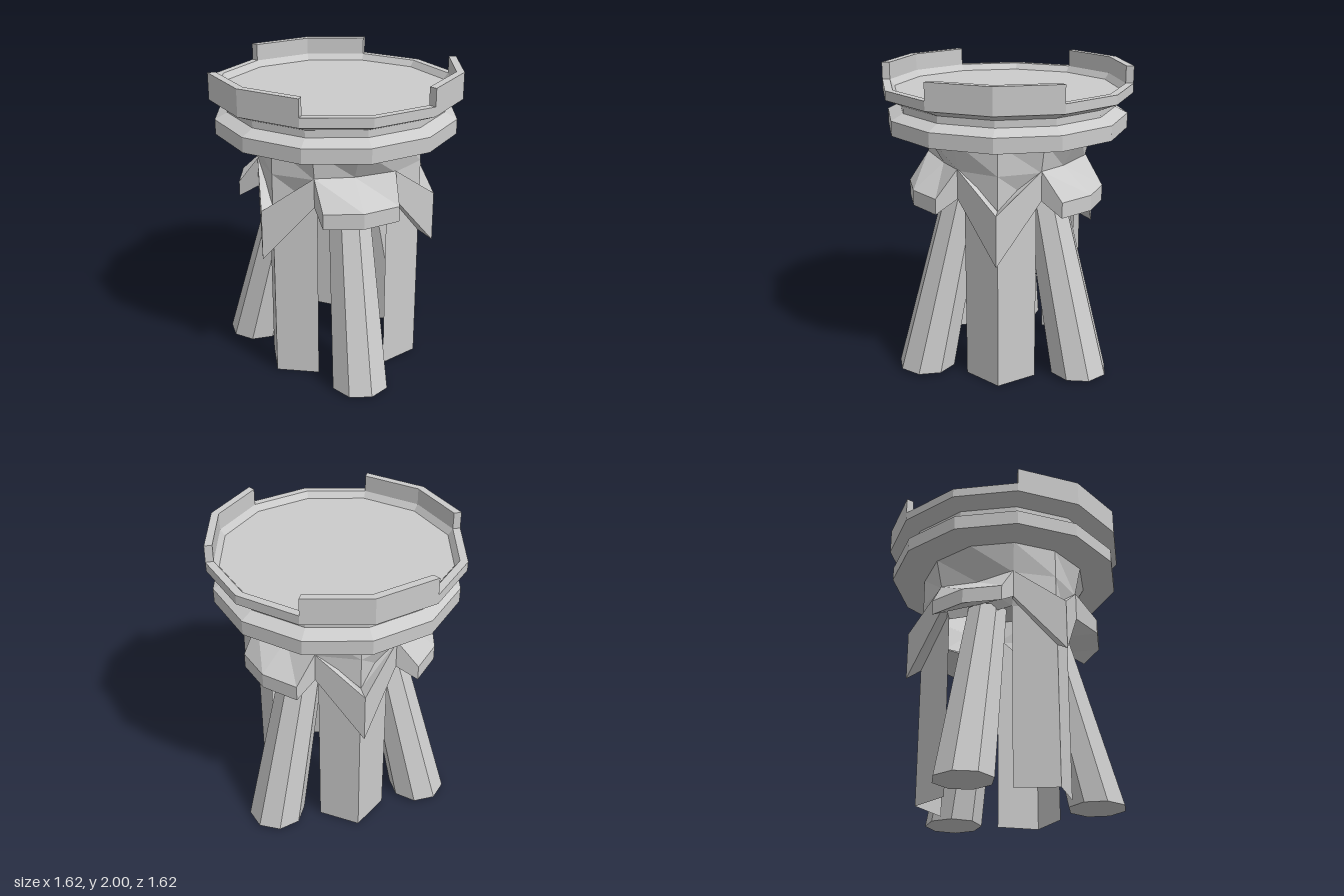
import * as THREE from 'three';

const rad = THREE.MathUtils.degToRad;
const material = new THREE.MeshStandardMaterial({
  color: 0xcccccc, flatShading: true, side: THREE.DoubleSide,
});

// Point at an angle around the y axis (0 = front, 90 = model's left)
const at = (deg, r, y) => [r * Math.sin(rad(deg)), y, r * Math.cos(rad(deg))];

// Joins slices of points with flat quads; solid closes the slices and caps the ends
function loft(slices, solid) {
  const pos = [];
  const quad = (a, b, c, d) => pos.push(...a, ...b, ...c, ...a, ...c, ...d);
  const n = slices[0].length;
  for (let i = 0; i < slices.length - 1; i++) {
    for (let j = 0; j < (solid ? n : n - 1); j++) {
      const k = (j + 1) % n;
      quad(slices[i][j], slices[i][k], slices[i + 1][k], slices[i + 1][j]);
    }
  }
  if (solid) {
    quad(...[...slices[0]].reverse());
    quad(...slices[slices.length - 1]);
  }
  const geo = new THREE.BufferGeometry();
  geo.setAttribute('position', new THREE.Float32BufferAttribute(pos, 3));
  geo.computeVertexNormals();
  return geo;
}

function part(name, geo, parent) {
  const mesh = new THREE.Mesh(geo, material);
  mesh.name = name;
  parent.add(mesh);
  return mesh;
}

// Tapered eight-sided leg leaning in towards the column
function legGeometry() {
  const bottom = 0.015, top = 1.25, height = top - bottom;
  const geo = new THREE.CylinderGeometry(0.135, 0.19, height, 8, 1, false, rad(8));
  geo.translate(0, height / 2 + bottom, 0);
  const p = geo.attributes.position;
  for (let i = 0; i < p.count; i++) {
    const t = (p.getY(i) - bottom) / height;
    p.setZ(i, p.getZ(i) + THREE.MathUtils.lerp(0.59, 0.29, t));
  }
  geo.computeVertexNormals();
  return geo;
}

export function createModel() {
  const model = new THREE.Group();
  model.name = 'pedestal';

  // Twelve-sided platform with a grooved rim and a sunken floor
  const profile = [
    [0, 1.605], [0.78, 1.605], [0.78, 1.7], [0.7, 1.74], [0.7, 1.785],
    [0.81, 1.83], [0.81, 1.89], [0.76, 1.89], [0.73, 1.85], [0, 1.85],
  ].map(([r, y]) => new THREE.Vector2(r, y));
  part('platform', new THREE.LatheGeometry(profile, 12), model);

  // Slices of the repeated pieces
  const wall = [-30, 0, 30].map((a) => [
    at(a, 0.76, 2), at(a, 0.81, 2), at(a, 0.81, 1.87), at(a, 0.76, 1.87),
  ]);
  const edge = (a) => [at(a, 0.56, 1.61), at(a, 0.515, 1.41), at(a, 0.45, 1.2), at(a, 0.45, 0)];
  const ridge = [1.61, 1.41, 1.2, 0].map((y) => at(0, 0.56, y));
  const flare = [
    edge(30).slice(0, 3),
    [at(60, 0.56, 1.61), at(60, 0.44, 1.4), at(60, 0.36, 1.2)],
    edge(90).slice(0, 3),
  ];
  const chevronEnd = (a) => [
    at(a, 0.45, 1.42), at(a, 0.52, 1.42), at(a, 0.52, 1.23), at(a, 0.45, 1.25),
  ];
  const chevron = [
    chevronEnd(-30),
    [at(0, 0.56, 1.19), at(0, 0.655, 1.19), at(0, 0.655, 0.86), at(0, 0.56, 0.92)],
    chevronEnd(30),
  ];
  const hood = [
    [30, 0.52, 37.7, 0.638, 1.42],
    [60, 0.44, 60, 0.65, 1.4],
    [90, 0.52, 82.3, 0.638, 1.42],
  ].map(([a, r, b, s, y]) => [at(a, r, y), at(b, s, 1.24), at(b, s, 1.14), at(a, r, 1.23)]);

  const geos = {
    rimWall: loft(wall, true),
    columnPanel: loft([edge(-30), ridge, edge(30)], false),
    columnFlare: loft(flare, false),
    chevron: loft(chevron, true),
    hood: loft(hood, true),
  };
  const leg = legGeometry();

  // Everything below the platform repeats three times around
  for (let i = 0; i < 3; i++) {
    const sector = new THREE.Group();
    sector.name = 'sector' + (i + 1);
    sector.rotation.y = rad(120 * i);
    for (const [name, geo] of Object.entries(geos)) part(name, geo, sector);
    part('leg', leg, sector).rotation.y = rad(60);
    model.add(sector);
  }
  return model;
}
